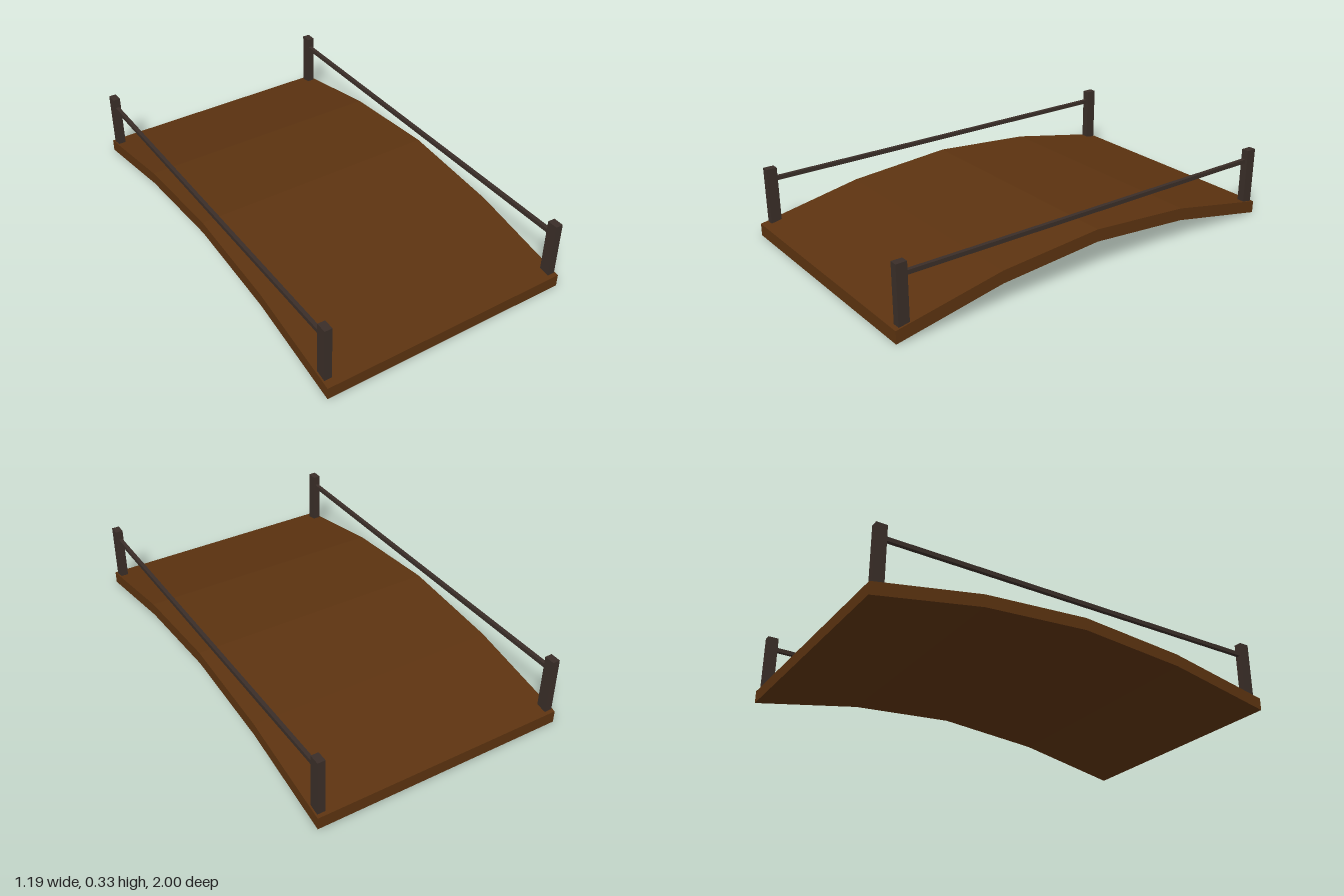
import * as THREE from 'three';

export function createModel() {
  const bridge = new THREE.Group();
  bridge.name = 'footbridge';
  const wood = new THREE.MeshStandardMaterial({ color: 0x5c3310, flatShading: true });
  const darkWood = new THREE.MeshStandardMaterial({ color: 0x3a2e28, flatShading: true });

  const addBox = (name, [w, h, d], [x, y, z]) => {
    const mesh = new THREE.Mesh(new THREE.BoxGeometry(w, h, d), darkWood);
    mesh.name = name;
    mesh.position.set(x, y, z);
    bridge.add(mesh);
  };

  // Arched deck: a slab in four straight spans, lifted along its length
  const width = 1.19, thickness = 0.058;
  const lift = [0, 0.096, 0.135, 0.096, 0];
  const deckGeometry = new THREE.BoxGeometry(width, thickness, 2, 1, 1, 4);
  const pos = deckGeometry.attributes.position;
  for (let i = 0; i < pos.count; i++) {
    const station = Math.round((pos.getZ(i) + 1) * 2);
    pos.setY(i, pos.getY(i) + thickness / 2 + lift[station]);
  }
  deckGeometry.computeVertexNormals();
  const deck = new THREE.Mesh(deckGeometry, wood);
  deck.name = 'deck';
  bridge.add(deck);

  // Corner posts and one straight handrail per side
  const sides = [
    { name: 'left', x: 0.57, railX: 0.567, frontZ: 0.957 },
    { name: 'right', x: -0.57, railX: -0.57, frontZ: 0.94 },
  ];
  const backZ = -0.96, postDepth = 0.05, bottom = 0.063, top = 0.328;
  for (const { name, x, railX, frontZ } of sides) {
    for (const [end, z] of [['Front', frontZ], ['Back', backZ]]) {
      addBox(`${name}${end}Post`, [0.035, top - bottom, postDepth], [x, (top + bottom) / 2, z]);
    }
    addBox(`${name}Handrail`, [0.018, 0.019, frontZ - backZ - 0.04], [railX, 0.273, (frontZ + backZ) / 2]);
  }
  return bridge;
}
